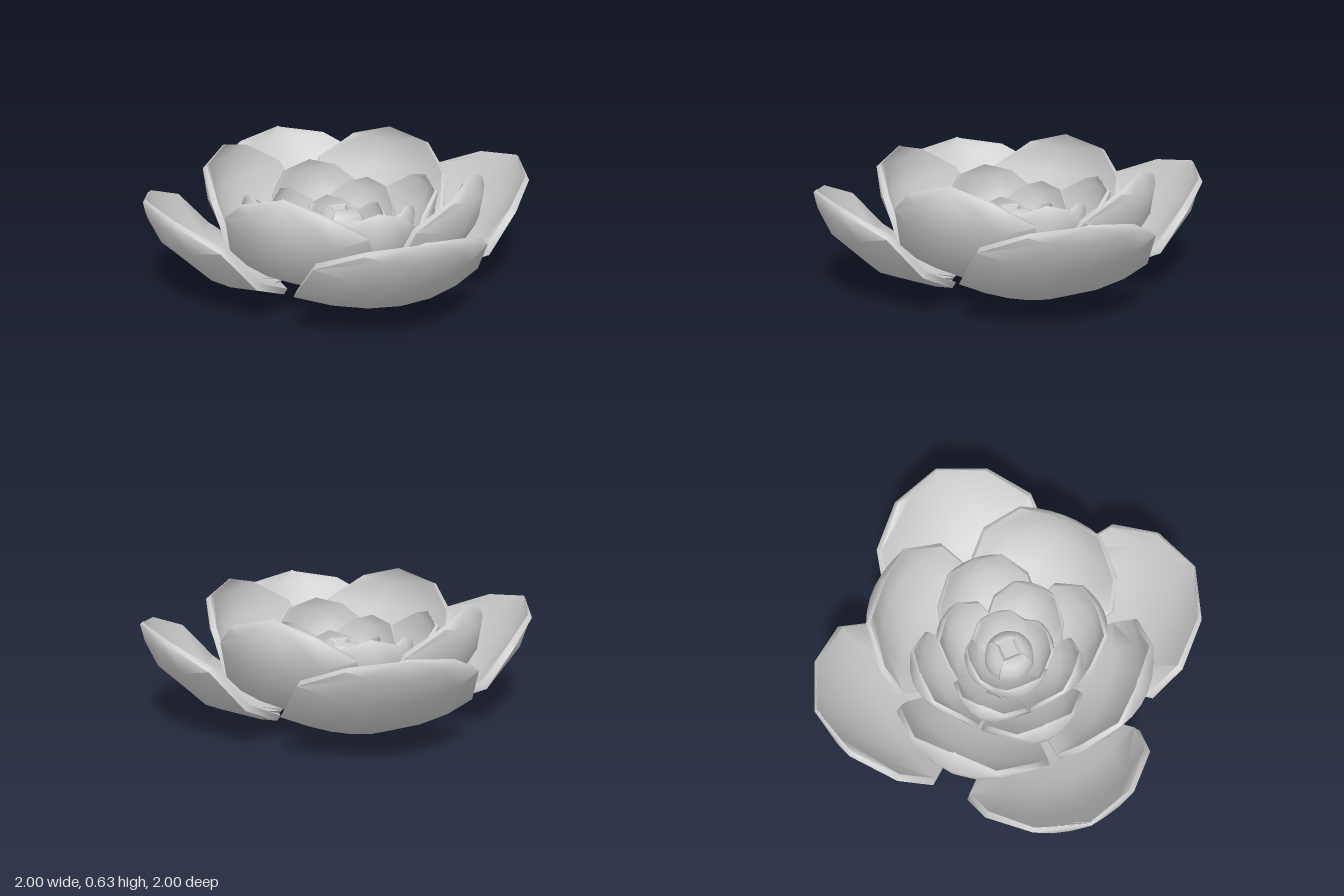
import * as THREE from 'three';
import { mergeVertices, toCreasedNormals } from 'three/addons/utils/BufferGeometryUtils.js';

const COLS = 7;

// A cupped petal facing +z, lofted from base to tip, thick in the middle and thin at the rim.
// Row: [midline radius, midline height, half width, edge radius, edge height]
function petalGeometry(rows, [inset, lift]) {
  const pos = [], index = [], loop = COLS * 2;
  rows.forEach(([rc, yc, w, re, ye], i) => {
    const t = i / (rows.length - 1);
    for (let k = 0; k < loop; k++) {
      const inner = k >= COLS;
      const j = inner ? loop - 1 - k : k;
      const s = (j / (COLS - 1)) * 2 - 1;
      const b = s * s;
      const thick = inner ? (1 - 0.55 * b) * (1 - 0.7 * t ** 4) : 0;
      pos.push(
        s * w * (inner ? 0.95 : 1),
        yc + (ye - yc) * b + lift * thick,
        rc + (re - rc) * b - inset * thick
      );
    }
  });
  for (let i = 0; i < rows.length - 1; i++) {
    for (let k = 0; k < loop; k++) {
      const n = (k + 1) % loop;
      const a = i * loop + k, b = i * loop + n;
      index.push(a, b, b + loop, a, b + loop, a + loop);
    }
  }
  const g = new THREE.BufferGeometry();
  g.setAttribute('position', new THREE.Float32BufferAttribute(pos, 3));
  g.setIndex(index);
  return toCreasedNormals(mergeVertices(g), 1.4);
}

// Shared petal outline, base to tip: [reach, bulge, height, width, edge cup, edge rise]
const outline = [
  [0, 0, 0, 0, 0, 0], [0.24, 0.08, 0.09, 0.6, 0.6, 0.5], [0.6, 0.13, 0.27, 1, 0.85, 1],
  [0.88, 0.08, 0.6, 0.92, 1, 1.2], [0.97, 0.03, 0.84, 0.55, 0.35, 0.7], [1, -0.1, 1, 0, 0, 0],
];

const petalRows = ({ base: [r0, y0], tip: [r1, y1], width, bulge, cup, rise }) =>
  outline.map(([u, b, h, w, c, e]) => {
    const r = r0 + (r1 - r0) * (u + bulge * b);
    const y = y0 + (y1 - y0) * h;
    return [r, y, width * w, r - cup * c, y + rise * e];
  });

// Rings from the outside in; every second ring is turned by 45 degrees
const rings = [
  { name: 'outerPetal', base: [0.35, 0], tip: [1, 0.53], width: 0.465, bulge: 0, cup: 0.17, rise: 0.06, shift: [0.05, 0.045] },
  { name: 'secondPetal', base: [0.2, 0.03], tip: [0.72, 0.62], width: 0.4, bulge: 1, cup: 0.165, rise: 0.05, shift: [0.05, 0.03] },
  { name: 'thirdPetal', base: [0.13, 0.01], tip: [0.51, 0.49], width: 0.27, bulge: 1, cup: 0.14, rise: 0.05, shift: [0.04, 0.02] },
  { name: 'fourthPetal', base: [0.08, 0.03], tip: [0.38, 0.43], width: 0.21, bulge: 1, cup: 0.11, rise: 0.04, shift: [0.035, 0.015] },
  { name: 'fifthPetal', base: [0.05, 0.05], tip: [0.23, 0.375], width: 0.17, bulge: 1, cup: 0.085, rise: 0.03, shift: [0.03, 0.01] },
];

export function createModel() {
  const flower = new THREE.Group();
  flower.name = 'flower';
  const material = new THREE.MeshStandardMaterial({ color: 0xcccccc, side: THREE.DoubleSide });

  function addRing(name, geometry, turn) {
    for (let i = 0; i < 4; i++) {
      const petal = new THREE.Mesh(geometry, material);
      petal.name = name;
      petal.rotation.y = i * Math.PI / 2 + turn;
      flower.add(petal);
    }
  }

  rings.forEach((ring, i) =>
    addRing(ring.name, petalGeometry(petalRows(ring), ring.shift), (i % 2) * Math.PI / 4));

  // Four petals closed into a bud, their tips rolled into a square opening
  const budRows = [
    [0.03, 0.07, 0], [0.09, 0.14, 0.07], [0.125, 0.23, 0.088], [0.12, 0.31, 0.085],
    [0.09, 0.355, 0.07], [0.055, 0.375, 0.05], [0.042, 0.365, 0.04], [0.038, 0.33, 0.036],
  ].map(([r, y, w]) => [r, y, w, Math.min(r, w + 0.002), y]);
  addRing('budPetal', petalGeometry(budRows, [0.01, -0.01]), 0);

  // Floor of the opening
  const core = new THREE.Mesh(new THREE.BoxGeometry(0.08, 0.2, 0.08), material);
  core.name = 'budCore';
  core.position.y = 0.245;
  flower.add(core);
  return flower;
}
